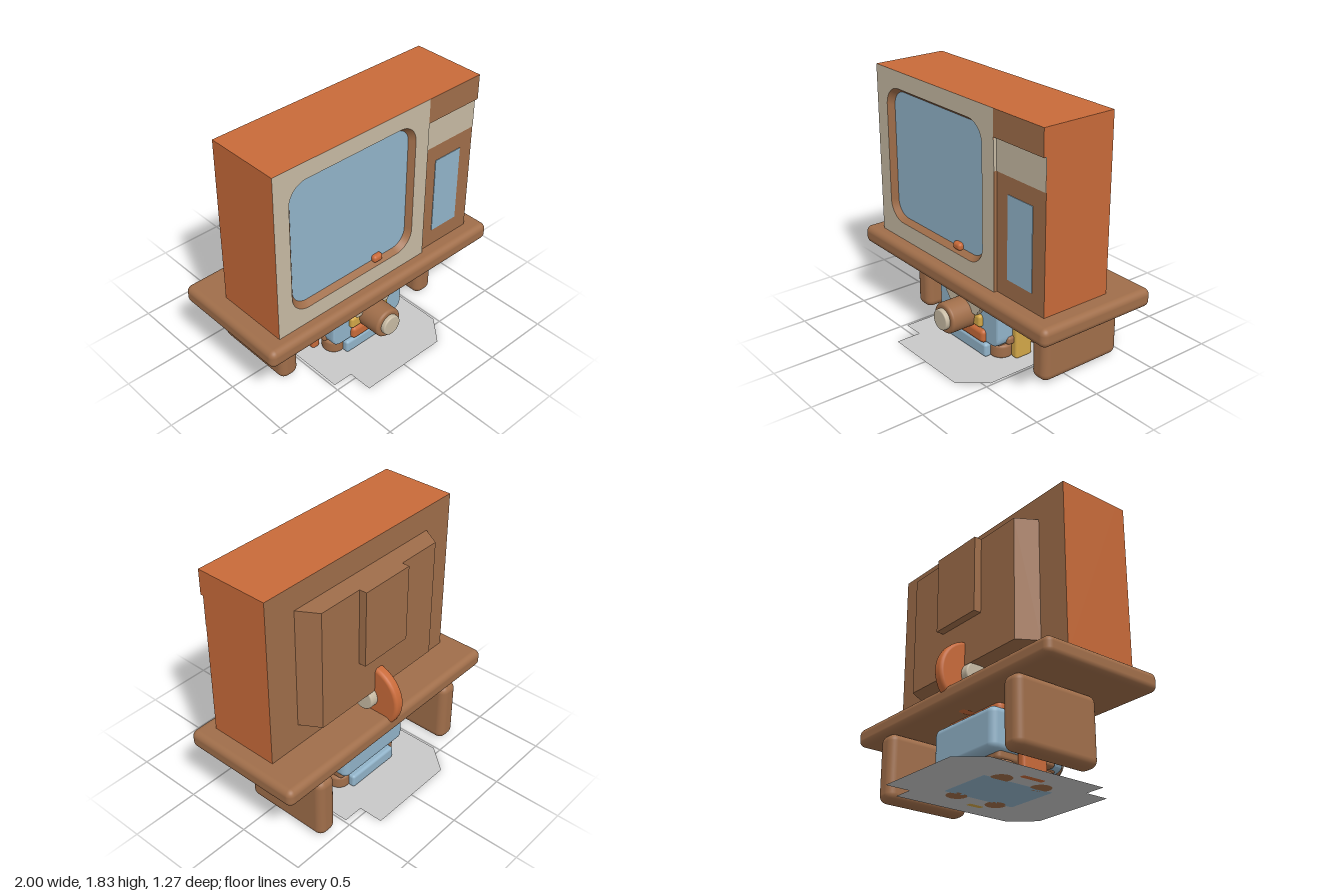
import * as THREE from 'three';
import { RoundedBoxGeometry } from 'three/addons/geometries/RoundedBoxGeometry.js';

const mat = (name, color, side = THREE.FrontSide) => {
  const m = new THREE.MeshStandardMaterial({ color, side });
  m.name = name;
  return m;
};

export function createModel() {
  const root = new THREE.Group();
  root.name = 'televisionOnTable';
  const orange = mat('orange', 0xc86a39), brown = mat('brown', 0xa06e4a), beige = mat('beige', 0xc8bba4);
  const blue = mat('blue', 0x92b4ca), yellow = mat('yellow', 0xd2a748);
  const gray = mat('gray', 0xc8c8c8, THREE.DoubleSide);

  const add = (name, geo, material, parent = root) => {
    const m = new THREE.Mesh(geo, material);
    m.name = name;
    parent.add(m);
    return m;
  };
  // Boxes are given by their limits on each axis; r rounds the edges
  const box = (name, material, [x0, x1], [y0, y1], [z0, z1], r = 0, parent = root) => {
    const s = [x1 - x0, y1 - y0, z1 - z0];
    const geo = r ? new RoundedBoxGeometry(...s, 4, r) : new THREE.BoxGeometry(...s);
    const m = add(name, geo, material, parent);
    m.position.set((x0 + x1) / 2, (y0 + y1) / 2, (z0 + z1) / 2);
    return m;
  };
  const roundRect = (x0, x1, y0, y1, r, S = THREE.Shape) => {
    const s = new S();
    s.moveTo(x0 + r, y0);
    s.lineTo(x1 - r, y0);
    s.absarc(x1 - r, y0 + r, r, -Math.PI / 2, 0);
    s.lineTo(x1, y1 - r);
    s.absarc(x1 - r, y1 - r, r, 0, Math.PI / 2);
    s.lineTo(x0 + r, y1);
    s.absarc(x0 + r, y1 - r, r, Math.PI / 2, Math.PI);
    s.lineTo(x0, y0 + r);
    s.absarc(x0 + r, y0 + r, r, Math.PI, Math.PI * 1.5);
    return s;
  };
  // Solid disc with softened rims, turned round the y axis
  const disc = (r, h, b) => {
    const p = [new THREE.Vector2(0, -h / 2)];
    for (const [cy, from] of [[-h / 2 + b, -Math.PI / 2], [h / 2 - b, 0]])
      for (let i = 0; i <= 4; i++) {
        const a = from + i * Math.PI / 8;
        p.push(new THREE.Vector2(r - b + b * Math.cos(a), cy + b * Math.sin(a)));
      }
    p.push(new THREE.Vector2(0, h / 2));
    return new THREE.LatheGeometry(p, 40);
  };

  // Table
  box('tableTop', brown, [-1, 1], [0.48, 0.61], [-0.455, 0.455], 0.045);
  for (const s of [-1, 1])
    box('tableLeg', brown, [s * 0.65 - 0.075, s * 0.65 + 0.075], [0.005, 0.48], [-0.45, 0.2], 0.055);

  // Television cabinet
  const tv = new THREE.Group();
  tv.name = 'television';
  root.add(tv);
  const cabinetMats = [orange, orange, orange, brown, brown, brown];
  box('cabinet', cabinetMats, [-0.87, 0.87], [0.61, 1.83], [-0.175, 0.3], 0, tv);
  box('controlPanel', cabinetMats, [0.41, 0.87], [0.61, 1.65], [0.3, 0.345], 0, tv);
  box('panelHeader', cabinetMats, [0.41, 0.87], [1.65, 1.83], [0.3, 0.37], 0, tv);
  box('beigeStrip', beige, [0.41, 0.87], [1.43, 1.65], [0.345, 0.348], 0, tv);
  box('panelWindow', blue, [0.52, 0.755], [0.735, 1.31], [0.345, 0.349], 0, tv);
  box('bezelSideUpper', beige, [0.41, 0.413], [1.43, 1.65], [0.345, 0.369], 0, tv);
  box('bezelSideLower', brown, [0.41, 0.413], [0.61, 1.43], [0.345, 0.369], 0, tv);

  // Screen bezel with a rounded opening
  const bezel = new THREE.Shape([[-0.87, 0.61], [0.41, 0.61], [0.41, 1.83], [-0.87, 1.83]]
    .map(p => new THREE.Vector2(...p)));
  bezel.holes.push(roundRect(-0.755, 0.295, 0.735, 1.71, 0.14, THREE.Path));
  add('bezel', new THREE.ExtrudeGeometry(bezel, { depth: 0.07, bevelEnabled: false, curveSegments: 12 }),
    [beige, orange], tv).position.z = 0.3;

  // Sloped lining between the opening and the screen
  const outer = roundRect(-0.755, 0.295, 0.735, 1.71, 0.14).getPoints(12);
  const innerShape = roundRect(-0.72, 0.265, 0.765, 1.68, 0.115);
  const inner = innerShape.getPoints(12);
  const pos = [], idx = [];
  outer.forEach((o, i) => {
    pos.push(o.x, o.y, 0.37, inner[i].x, inner[i].y, 0.33);
    const a = i * 2, b = ((i + 1) % outer.length) * 2;
    idx.push(a, b, b + 1, a, b + 1, a + 1);
  });
  const lining = new THREE.BufferGeometry();
  lining.setAttribute('position', new THREE.Float32BufferAttribute(pos, 3));
  lining.setIndex(idx);
  lining.computeVertexNormals();
  add('screenLining', lining, brown, tv);
  add('screen', new THREE.ShapeGeometry(innerShape, 12), blue, tv).position.z = 0.33;
  box('screenKnob', orange, [-0.04, 0.04], [0.75, 0.805], [0.31, 0.365], 0.022, tv);

  // Tapered back housing and its raised block
  const hump = new THREE.Shape([[-0.63, 0.175], [0.63, 0.175], [0.545, 0.315], [-0.545, 0.315]]
    .map(p => new THREE.Vector2(...p)));
  const humpMesh = add('backHousing', new THREE.ExtrudeGeometry(hump, { depth: 0.875, bevelEnabled: false }), brown, tv);
  humpMesh.rotation.x = -Math.PI / 2;
  humpMesh.position.y = 0.78;
  box('backBlock', brown, [-0.205, 0.205], [1.1, 1.655], [-0.37, -0.31], 0, tv);

  // Wheel behind the television
  const wheel = new THREE.Group();
  wheel.name = 'wheel';
  wheel.rotation.z = Math.PI / 2;
  wheel.position.set(0, 0.718, -0.258);
  root.add(wheel);
  add('wheelDisc', disc(0.245, 0.08, 0.025), orange, wheel);
  add('wheelHub', disc(0.083, 0.2, 0.012), beige, wheel);

  // Small robot under the table
  const robot = new THREE.Group();
  robot.name = 'robot';
  root.add(robot);
  box('body', blue, [-0.31, 0.31], [0.14, 0.44], [-0.3, 0.2], 0.05, robot);
  box('bodyTop', orange, [-0.27, 0.27], [0.36, 0.5], [-0.22, 0.28], 0.04, robot);
  box('base', blue, [-0.215, 0.215], [0, 0.1], [-0.29, 0.29], 0.02, robot);
  box('chassis', brown, [-0.29, 0.29], [0.09, 0.18], [-0.24, 0.24], 0.03, robot);
  box('sidePlateOrange', orange, [-0.365, -0.3], [0, 0.49], [-0.1, 0.1], 0.02, robot);
  box('sidePlateYellow', yellow, [0.3, 0.365], [0, 0.49], [0, 0.14], 0.02, robot);
  for (const x of [-0.225, 0.225])
    for (const z of [-0.16, 0.16])
      add('foot', disc(0.085, 0.1, 0.02), brown, robot).position.set(x, 0.05, z);

  // Face with two raised lobes
  const face = new THREE.Shape();
  face.moveTo(-0.25, 0.12);
  face.lineTo(0.25, 0.12);
  face.quadraticCurveTo(0.31, 0.12, 0.31, 0.18);
  face.lineTo(0.31, 0.4);
  face.quadraticCurveTo(0.31, 0.45, 0.25, 0.45);
  face.bezierCurveTo(0.17, 0.46, 0.17, 0.385, 0.1, 0.385);
  face.lineTo(-0.1, 0.385);
  face.bezierCurveTo(-0.17, 0.385, -0.17, 0.46, -0.25, 0.45);
  face.quadraticCurveTo(-0.31, 0.45, -0.31, 0.4);
  face.lineTo(-0.31, 0.18);
  face.quadraticCurveTo(-0.31, 0.12, -0.25, 0.12);
  add('face', new THREE.ExtrudeGeometry(face, {
    depth: 0.1, bevelSize: 0.015, bevelThickness: 0.02, bevelSegments: 3, curveSegments: 10,
  }), blue, robot).position.z = 0.15;

  // Face details
  const brow = new THREE.Shape([[-0.14, 0.31], [0.14, 0.31], [0.2, 0.385], [-0.2, 0.385]]
    .map(p => new THREE.Vector2(...p)));
  add('brow', new THREE.ExtrudeGeometry(brow, { depth: 0.05, bevelSize: 0.005, bevelThickness: 0.005 }),
    beige, robot).position.z = 0.26;
  box('cheekBar', yellow, [-0.18, 0.165], [0.21, 0.3], [0.24, 0.3], 0.02, robot);
  box('jaw', orange, [-0.165, 0.2], [0.1, 0.2], [0.2, 0.3], 0.03, robot);
  box('jawBar', brown, [-0.34, 0.34], [0.11, 0.175], [0.1, 0.19], 0.025, robot);
  for (const x of [-0.13, -0.06, 0.06, 0.13])
    add('bolt', new THREE.SphereGeometry(0.045, 16, 12), beige, robot).position.set(x, 0.465, 0.265);
  const snout = new THREE.Group();
  snout.name = 'snout';
  snout.rotation.x = Math.PI / 2;
  snout.position.set(0, 0.275, 0);
  robot.add(snout);
  add('snoutBarrel', disc(0.11, 0.24, 0.02), brown, snout).position.y = 0.355;
  add('snoutTip', disc(0.075, 0.08, 0.01), beige, snout).position.y = 0.467;

  // Flat mat on the ground
  const half = [[-0.335, 0.635], [0.335, 0.635], [0.485, 0.455], [0.485, -0.455], [0.335, -0.455]];
  const outline = [...half, ...half.map(([x, z]) => [-x, -z])];
  const ground = new THREE.ShapeGeometry(new THREE.Shape(outline.map(([x, z]) => new THREE.Vector2(x, -z))));
  const matMesh = add('groundMat', ground, gray);
  matMesh.rotation.x = -Math.PI / 2;
  matMesh.position.y = 0.002;
  return root;
}
